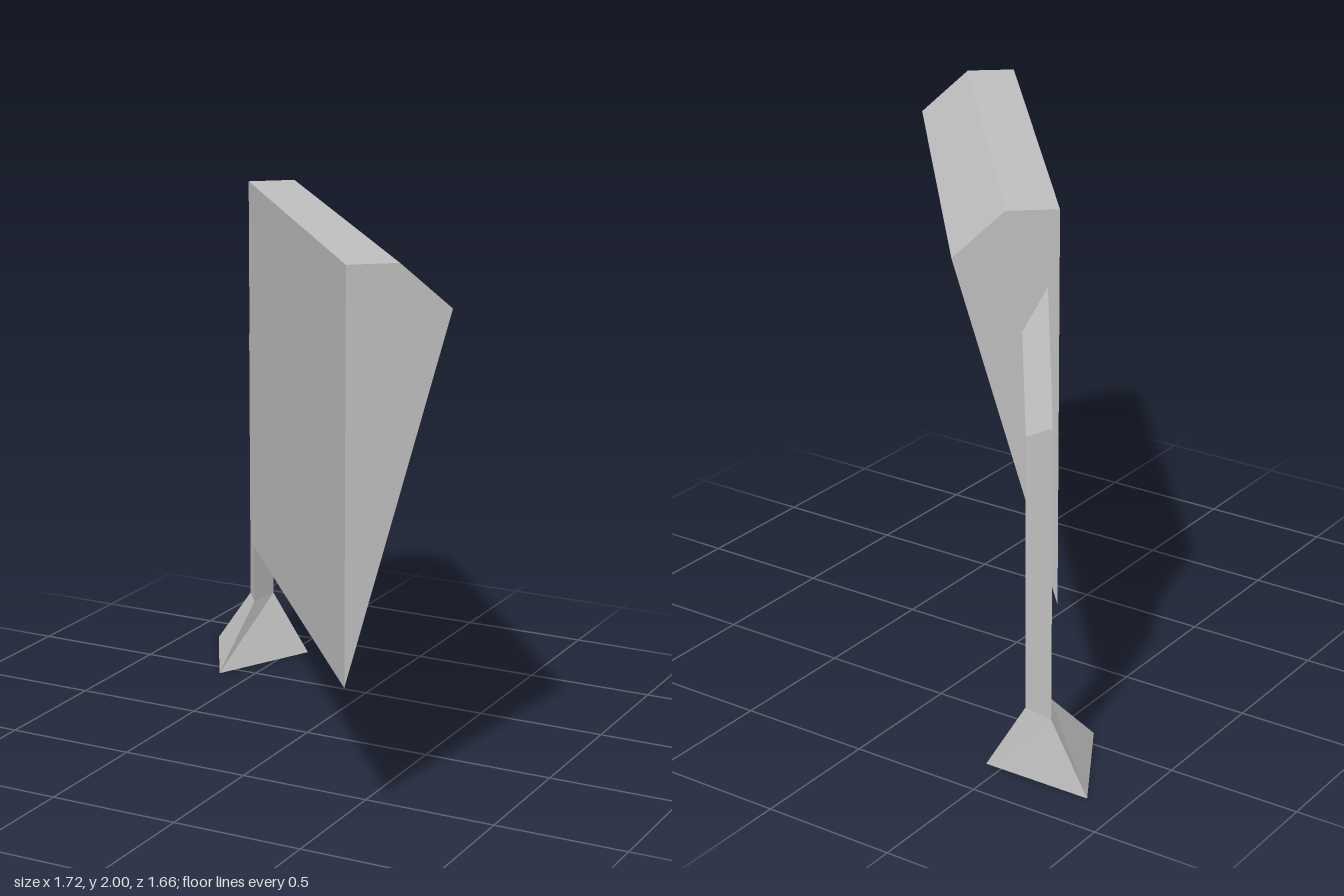
import * as THREE from 'three';

// Skin a closed solid through rings of points (each ring counter-clockwise seen from the last ring's end).
function loft(rings) {
  const pos = [];
  const tri = (...pts) => pts.forEach((p) => pos.push(...p));
  const n = rings[0].length;
  for (let r = 0; r < rings.length - 1; r++) {
    for (let i = 0; i < n; i++) {
      const j = (i + 1) % n;
      const [a, b, c, d] = [rings[r][i], rings[r][j], rings[r + 1][j], rings[r + 1][i]];
      tri(a, b, c);
      tri(a, c, d);
    }
  }
  const first = rings[0], last = rings[rings.length - 1];
  for (let i = 1; i < n - 1; i++) {
    tri(first[0], first[i + 1], first[i]);
    tri(last[0], last[i], last[i + 1]);
  }
  const geo = new THREE.BufferGeometry();
  geo.setAttribute('position', new THREE.Float32BufferAttribute(pos, 3));
  geo.computeVertexNormals();
  return geo;
}

export function createModel() {
  const group = new THREE.Group();
  const grey = new THREE.MeshStandardMaterial({ color: 0xbfbfbf, flatShading: true });
  grey.name = 'light grey';
  const add = (name, rings) => {
    const mesh = new THREE.Mesh(loft(rings), grey);
    mesh.name = name;
    group.add(mesh);
  };

  // Wedge-shaped panel: one profile swept from the post end to the far end
  const profile = [
    [-0.545, 0.54, -0.545],
    [-0.265, 1.84, -0.775],
    [-0.405, 2, -0.66],
    [-0.545, 2, -0.545],
  ];
  const sweep = [1.124, 0, 1.373];
  add('panel', [profile, profile.map((p) => p.map((v, k) => v + sweep[k]))]);

  // Three-sided post: left back, front and right back corners of each ring
  const foot = [[-0.86, 0, -0.83], [-0.63, 0, -0.43], [-0.435, 0, -0.83]];
  const collar = [[-0.683, 0.235, -0.79], [-0.6, 0.242, -0.672], [-0.575, 0.25, -0.79]];
  const bend = [[-0.683, 1.33, -0.79], [-0.6, 1.3, -0.672], [-0.575, 1.275, -0.79]];
  const armEnd = [[-0.515, 1.73, -0.57], [-0.52, 1.5, -0.566], [-0.448, 1.57, -0.625]];
  add('flaredBase', [foot, collar]);
  add('post', [collar, bend]);
  add('bentArm', [bend, armEnd]);
  return group;
}
